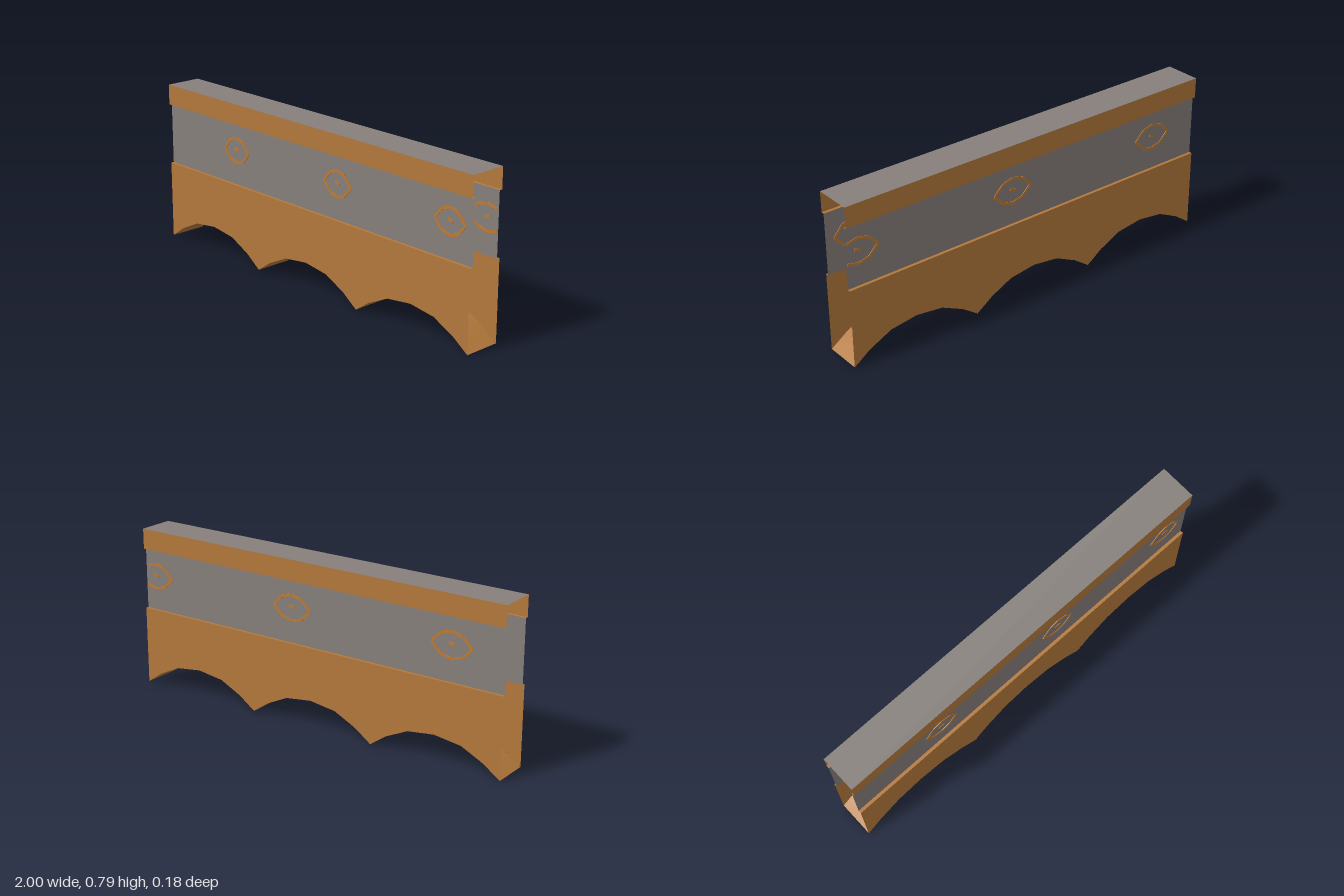
import * as THREE from 'three';

const HALF_DEPTH = 0.09, RECESS = 0.075;
const BAND_BOTTOM = 0.385, BAND_TOP = 0.685, TOP = 0.785;
const SPAN = 2 / 3;

// Half arch: distance from the crown and height
const ARCH = [[-0.333, 0], [-0.25, 0.058], [-0.137, 0.112], [0, 0.13], [0.137, 0.112], [0.25, 0.058], [0.333, 0]];
const ARCH_CENTRES = [-SPAN, 0, SPAN];

const material = (name, color) => {
  const m = new THREE.MeshStandardMaterial({ color, side: THREE.DoubleSide });
  m.name = name;
  return m;
};

export function createModel() {
  const ochre = material('ochre stone', 0xb3783b);
  const grey = material('grey stone', 0x867f7b);
  const orange = material('orange paint', 0xc07a30);
  const model = new THREE.Group();
  model.name = 'archedBridge';

  const add = (parent, name, geometry, mat, x = 0, y = 0, z = 0) => {
    const mesh = new THREE.Mesh(geometry, mat);
    mesh.name = name;
    mesh.position.set(x, y, z);
    parent.add(mesh);
    return mesh;
  };

  // Painted outline with a short dash in the middle, cut off at the bridge ends
  const outline = [[0.085, 0], [0.045, 0.048], [0, 0.062], [-0.045, 0.048],
    [-0.085, 0], [-0.045, -0.048], [0, -0.062], [0.045, -0.048]];
  const addMark = (parent, cx, cy, stretch) => {
    const mark = new THREE.Group();
    mark.name = 'paintedMark';
    const stroke = (x1, y1, x2, y2) => {
      if (Math.max(Math.abs(cx + x1), Math.abs(cx + x2)) > 1) return;
      const length = Math.hypot(x2 - x1, y2 - y1);
      const s = add(mark, 'stroke', new THREE.BoxGeometry(length, 0.012, 0.006), orange, (x1 + x2) / 2, (y1 + y2) / 2);
      s.rotation.z = Math.atan2(y2 - y1, x2 - x1);
    };
    outline.forEach(([x, y], i) => {
      const [nx, ny] = outline[(i + 1) % outline.length];
      stroke(x * stretch, y, nx * stretch, ny);
    });
    stroke(-0.015, 0.01, 0.015, 0);
    mark.position.set(cx, cy, RECESS);
    parent.add(mark);
  };

  // One long side: arched wall, recessed panel, ledges and upper band
  const addSide = (name, marks, stretch) => {
    const side = new THREE.Group();
    side.name = name;
    const wall = new THREE.Shape();
    wall.moveTo(-1, BAND_BOTTOM);
    wall.lineTo(-1, 0);
    ARCH_CENTRES.forEach((c) => ARCH.slice(1).forEach(([x, y]) => wall.lineTo(c + x, y)));
    wall.lineTo(1, 0);
    wall.lineTo(1, BAND_BOTTOM);
    add(side, 'archedWall', new THREE.ShapeGeometry(wall), ochre, 0, 0, HALF_DEPTH);
    add(side, 'recessedPanel', new THREE.PlaneGeometry(2, BAND_TOP - BAND_BOTTOM), grey, 0, (BAND_TOP + BAND_BOTTOM) / 2, RECESS);
    add(side, 'upperBand', new THREE.PlaneGeometry(2, TOP - BAND_TOP), ochre, 0, (TOP + BAND_TOP) / 2, HALF_DEPTH);
    [[BAND_BOTTOM, -1], [BAND_TOP, 1]].forEach(([y, facing]) => {
      const ledge = new THREE.PlaneGeometry(2, HALF_DEPTH - RECESS).rotateX(facing * Math.PI / 2);
      add(side, 'ledge', ledge, ochre, 0, y, (HALF_DEPTH + RECESS) / 2);
    });
    marks.forEach((x) => addMark(side, x, 0.553, stretch));
    model.add(side);
    return side;
  };
  addSide('frontSide', [-0.5, 0.195, 0.87], 1);
  addSide('backSide', [-0.94, -0.115, 0.735], 1.2).rotation.y = Math.PI;

  // Deck on top; the ends stay open
  add(model, 'deck', new THREE.PlaneGeometry(2, HALF_DEPTH * 2).rotateX(-Math.PI / 2), grey, 0, TOP, 0);

  // Curved undersides of the three arches
  const soffit = new THREE.PlaneGeometry(SPAN, HALF_DEPTH * 2, ARCH.length - 1, 1).rotateX(Math.PI / 2);
  const p = soffit.attributes.position;
  for (let i = 0; i < p.count; i++) {
    const [x, y] = ARCH[i % ARCH.length];
    p.setXYZ(i, x, y, p.getZ(i));
  }
  soffit.computeVertexNormals();
  ARCH_CENTRES.forEach((c) => add(model, 'archUnderside', soffit, ochre, c));

  return model;
}
